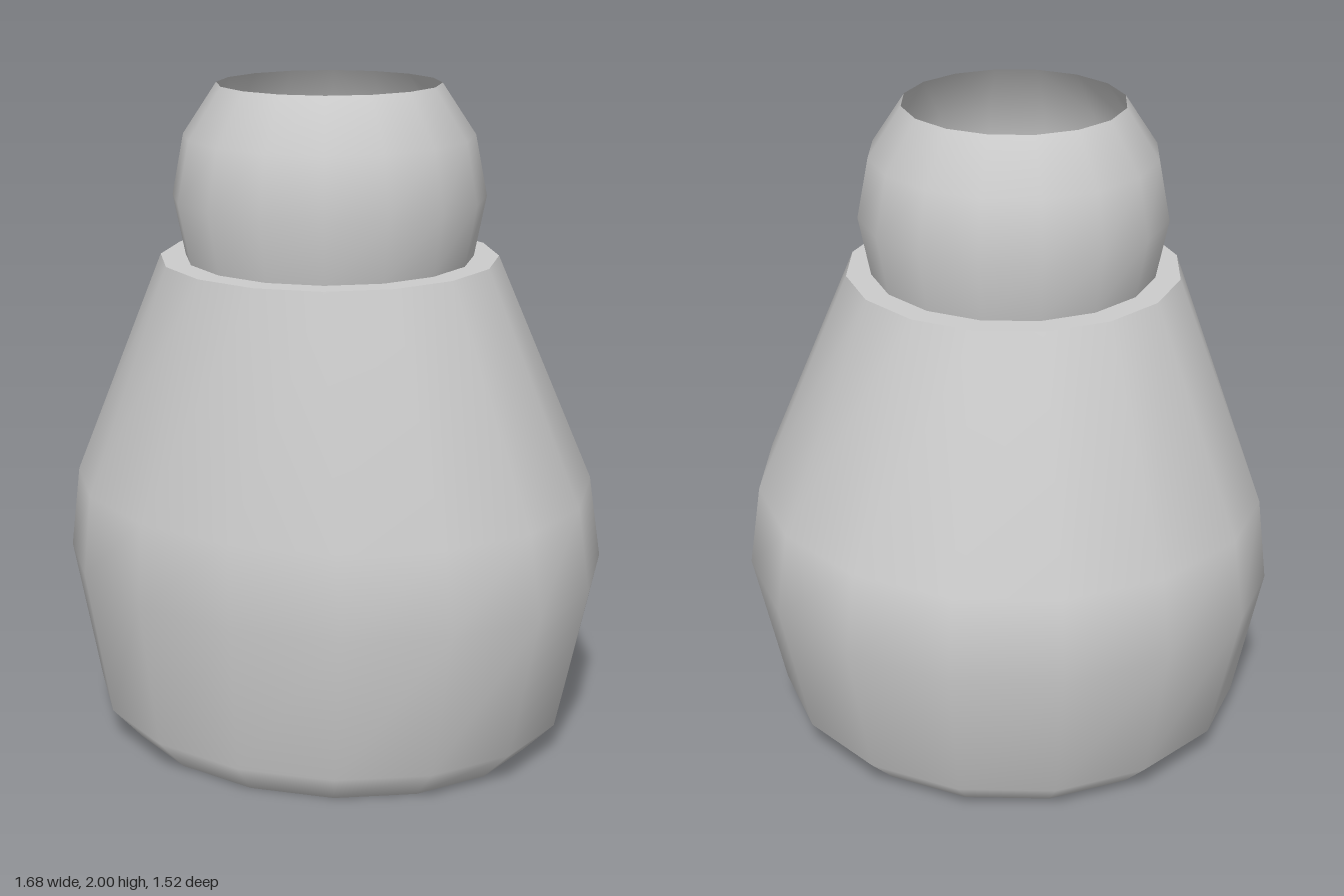
import * as THREE from 'three';

const SIDES = 16;
const CENTRE_Z = 0.075;
const material = new THREE.MeshStandardMaterial({ color: 0xcccccc, side: THREE.DoubleSide });

// Skin a stack of rings: [y, radius, front depth scale, back depth scale, centre z]
function loft(name, rings) {
  const positions = [];
  const index = [];
  rings.forEach(([y, r, front = 1, back = 1, cz = CENTRE_Z], i) => {
    for (let j = 0; j < SIDES; j++) {
      const a = (j / SIDES) * Math.PI * 2;
      const c = Math.cos(a);
      positions.push(r * Math.sin(a), y, cz + r * c * (c > 0 ? front : back));
      if (i === rings.length - 1) continue;
      const k = (j + 1) % SIDES;
      const p = i * SIDES + j, q = i * SIDES + k;
      index.push(p, q, q + SIDES, p, q + SIDES, p + SIDES);
    }
  });
  const geometry = new THREE.BufferGeometry();
  geometry.setAttribute('position', new THREE.Float32BufferAttribute(positions, 3));
  geometry.setIndex(index);
  geometry.computeVertexNormals();
  const mesh = new THREE.Mesh(geometry, material);
  mesh.name = name;
  return mesh;
}

export function createModel() {
  const model = new THREE.Group();
  model.name = 'hollowFigure';

  // Flat base with a central hole
  model.add(loft('base', [
    [0, 0.143, 0.94, 0.94, 0.04],
    [0, 0.65, 0.87],
  ]));

  // Pear-shaped body, flattened at the front
  model.add(loft('body', [
    [0, 0.65, 0.87],
    [0.1, 0.745, 0.87],
    [0.545, 0.838, 0.818],
    [0.8, 0.8, 0.855],
    [1.49, 0.505],
  ]));

  // Narrow flat ledge between body and head
  model.add(loft('shoulderLedge', [
    [1.49, 0.505],
    [1.49, 0.43],
  ]));

  // Rounded head, open at the top
  model.add(loft('head', [
    [1.49, 0.43],
    [1.67, 0.465],
    [1.85, 0.43],
    [2, 0.33],
  ]));

  return model;
}
